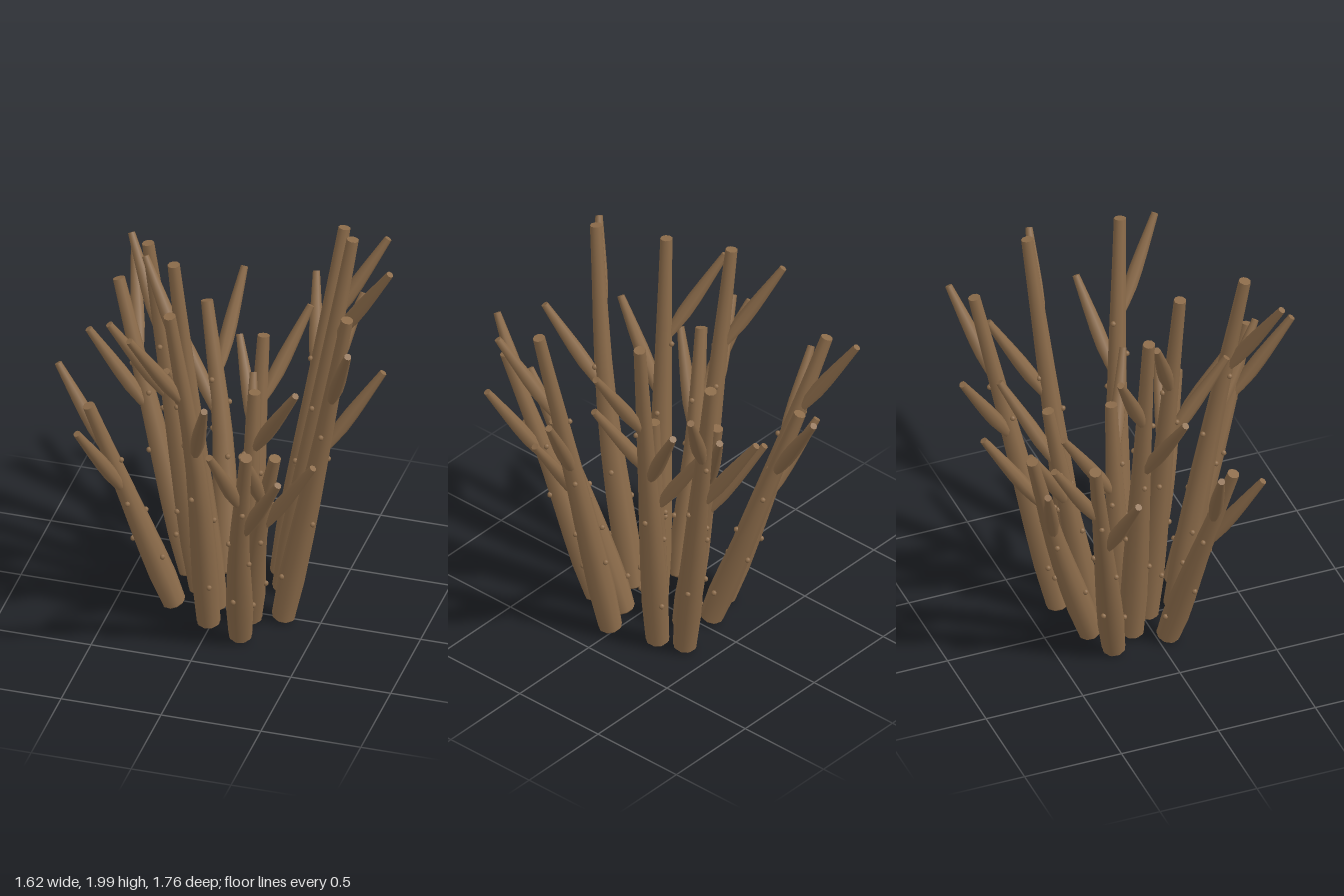
import * as THREE from 'three';

const bark = new THREE.MeshStandardMaterial({ color: 0x8b6b4a });

// Radii from foot to tip
const STEM_RADII = [0.058, 0.066, 0.063, 0.057, 0.05, 0.044, 0.039, 0.034, 0.03];
const TWIG_RADII = [0.014, 0.028, 0.036, 0.035, 0.03, 0.024, 0.018];
const FOOT_Y = 0.03;

// Foot x, z; tip x, y, z; sideways bend; twig spread and twist in degrees
const STEMS = [
  [-0.06, -0.29, -0.27, 1.29, -0.67, 0.03, 36, 2],
  [0.07, -0.23, 0.08, 1.29, -0.45, 0, 35, 0],
  [0.2, -0.35, 0.41, 1.81, -0.7, 0, 38, -9],
  [0.25, -0.22, 0.55, 1.97, -0.37, 0, 37, -1],
  [0.1, -0.07, 0.14, 1.19, -0.1, 0, 67, 0],
  [0.32, 0.02, 0.68, 1.86, 0.16, -0.015, 38, -2],
  [0.17, 0.07, 0.37, 1.12, 0.33, 0.03, 40, 1],
  [0.17, 0.24, 0.33, 1.33, 0.68, 0.02, 34, 0],
  [-0.01, 0.17, -0.11, 1.94, 0.49, -0.04, 36, -7],
  [-0.02, 0.02, -0.2, 1.99, 0.12, 0, 58, 5],
  [-0.22, 0.05, -0.59, 1.19, 0.24, 0.015, 34, 7],
  [-0.13, -0.1, -0.4, 1.93, -0.12, 0, 33, 6],
  [-0.22, -0.23, -0.66, 1.45, -0.5, 0, 40, -3],
];

// Cross axes of a curve at t
function frame(curve, t) {
  const p = curve.getPointAt(t), along = curve.getTangentAt(t);
  const u = new THREE.Vector3().crossVectors(along, new THREE.Vector3(0, 0, 1)).normalize();
  const v = new THREE.Vector3().crossVectors(u, along);
  return { p, along, u, v };
}

function radiusAt(radii, t) {
  const s = t * (radii.length - 1), i = Math.min(Math.floor(s), radii.length - 2);
  return THREE.MathUtils.lerp(radii[i], radii[i + 1], s - i);
}

// A capped cylinder bent along a curve with a varying radius
function limb(name, curve, radii, sides) {
  const geo = new THREE.CylinderGeometry(1, 1, 1, sides, radii.length - 1);
  const pos = geo.attributes.position, nor = geo.attributes.normal;
  for (let i = 0; i < pos.count; i++) {
    const t = THREE.MathUtils.clamp(pos.getY(i) + 0.5, 0, 1);
    const { p, along, u, v } = frame(curve, t), r = radiusAt(radii, t);
    p.addScaledVector(u, pos.getX(i) * r).addScaledVector(v, pos.getZ(i) * r);
    const n = new THREE.Vector3().addScaledVector(u, nor.getX(i))
      .addScaledVector(along, nor.getY(i)).addScaledVector(v, nor.getZ(i));
    pos.setXYZ(i, p.x, p.y, p.z);
    nor.setXYZ(i, n.x, n.y, n.z);
  }
  const mesh = new THREE.Mesh(geo, bark);
  mesh.name = name;
  return mesh;
}

function makeStem([footX, footZ, tipX, tipY, tipZ, bend, spread, twist], index) {
  const group = new THREE.Group();
  group.name = 'stem' + (index + 1);
  const foot = new THREE.Vector3(footX, FOOT_Y, footZ);
  const tip = new THREE.Vector3(tipX, tipY, tipZ);
  const lean = Math.atan2(tipZ - footZ, tipX - footX);
  const middle = foot.clone().lerp(tip, 0.5);
  middle.x -= Math.sin(lean) * bend;
  middle.z += Math.cos(lean) * bend;
  const curve = new THREE.CatmullRomCurve3([foot, middle, tip]);
  group.add(limb('stemBody', curve, STEM_RADII, 9));

  // Rounded underside
  const end = new THREE.Mesh(new THREE.SphereGeometry(STEM_RADII[0], 9, 6), bark);
  end.name = 'stemFoot';
  end.scale.y = 0.35;
  end.position.copy(foot);
  end.quaternion.setFromUnitVectors(new THREE.Vector3(0, 1, 0), curve.getTangentAt(0));
  group.add(end);

  // Two spindle-shaped twigs, turned to opposite sides of the lean
  for (const [name, t, sign] of [['upperTwig', 0.71, 1], ['lowerTwig', 0.54, -1]]) {
    const start = curve.getPointAt(t);
    const heading = lean + THREE.MathUtils.degToRad(twist + sign * spread);
    const twigTip = new THREE.Vector3(Math.cos(heading) * 0.305, 0.46, Math.sin(heading) * 0.305).add(start);
    group.add(limb(name, new THREE.LineCurve3(start, twigTip), TWIG_RADII, 8));
  }

  // Small buds winding up the stem
  const budGeo = new THREE.SphereGeometry(0.014, 7, 5);
  for (let k = 0; k < 7; k++) {
    const t = 0.14 + k * 0.095, angle = k * 2.4 + index * 1.7;
    const { p, u, v } = frame(curve, t), r = radiusAt(STEM_RADII, t) + 0.003;
    const bud = new THREE.Mesh(budGeo, bark);
    bud.name = 'bud';
    bud.position.copy(p).addScaledVector(u, Math.cos(angle) * r).addScaledVector(v, Math.sin(angle) * r);
    group.add(bud);
  }
  return group;
}

export function createModel() {
  const model = new THREE.Group();
  model.name = 'branchingStems';
  STEMS.forEach((stem, i) => model.add(makeStem(stem, i)));
  return model;
}
